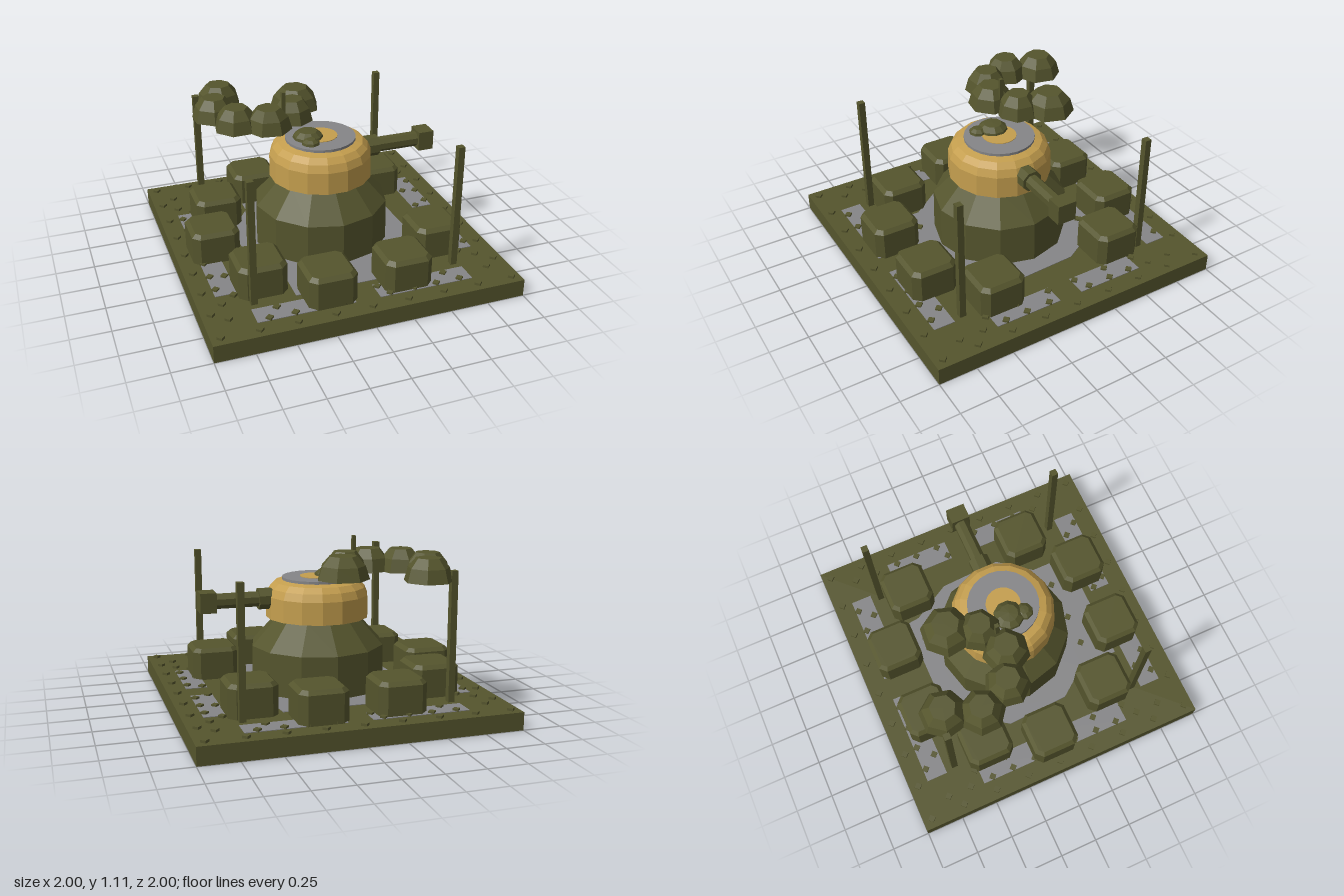
import * as THREE from 'three';

export function createModel() {
  const root = new THREE.Group();
  const make = (name, color, side = THREE.FrontSide) => {
    const m = new THREE.MeshStandardMaterial({ color, flatShading: true, side });
    m.name = name;
    return m;
  };
  const olive = make('olive', 0x55552d, THREE.DoubleSide);
  const gold = make('gold', 0xc49e4e);
  const grey = make('grey', 0x868688);

  const add = (name, geo, mat, x = 0, y = 0, z = 0, parent = root) => {
    const mesh = new THREE.Mesh(geo, mat);
    mesh.name = name;
    mesh.position.set(x, y, z);
    parent.add(mesh);
    return mesh;
  };
  const group = (name) => {
    const g = new THREE.Group();
    g.name = name;
    root.add(g);
    return g;
  };
  const box = (w, h, d) => new THREE.BoxGeometry(w, h, d);
  const lathe = (points, sides, start = 0) =>
    new THREE.LatheGeometry(points.map(([r, y]) => new THREE.Vector2(r, y)), sides, start);

  // Base: hollow tray, open underneath
  const base = group('base');
  add('deck', box(2, 0.03, 2), olive, 0, 0.1, 0, base);
  for (const s of [-1, 1]) {
    add('sideWall', box(0.025, 0.085, 2), olive, s * 0.9875, 0.0425, 0, base);
    add('endWall', box(1.95, 0.085, 0.025), olive, 0, 0.0425, s * 0.9875, base);
  }

  // Grey floor plates
  const floor = group('floorPlates');
  for (const s of [-1, 1]) for (const t of [-1, 1]) {
    add('endPlate', box(0.62, 0.004, 0.14), grey, s * 0.39, 0.117, t * 0.8, floor);
    add('sidePlate', box(0.14, 0.004, 0.45), grey, s * 0.8, 0.117, t * 0.305, floor);
  }
  const outline = [[-0.4, -0.57], [0.39, -0.57], [0.4, -0.48], [0.55, -0.22], [0.57, 0.2],
    [0.4, 0.42], [0.4, 0.68], [-0.4, 0.68], [-0.4, 0.42], [-0.55, 0.22], [-0.57, -0.2], [-0.4, -0.45]];
  const floorShape = new THREE.Shape(outline.map(([x, z]) => new THREE.Vector2(x, -z)));
  const floorGeo = new THREE.ExtrudeGeometry(floorShape, { depth: 0.004, bevelEnabled: false });
  add('centrePlate', floorGeo.rotateX(-Math.PI / 2), grey, 0, 0.115, 0, floor);

  // Bolts: an outer row on each edge, plus inner pairs
  const bolts = group('bolts');
  const boltGeo = new THREE.CylinderGeometry(0.026, 0.026, 0.018, 4);
  const bolt = (x, z) => add('bolt', boltGeo, olive, x, 0.122, z, bolts);
  for (let i = 0; i < 9; i++) {
    const p = -0.94 + i * 0.235;
    bolt(p, -0.94);
    bolt(p, 0.94);
    if (i > 0 && i < 8) {
      bolt(-0.94, p);
      bolt(0.94, p);
    }
  }
  for (const s of [-1, 1]) for (const t of [-1, 1]) {
    for (const [a, b] of [[0.85, 0.15], [0.85, 0.31], [0.85, 0.46], [0.85, 0.62], [0.85, 0.78], [0.76, 0.55], [0.76, 0.1], [0.76, 0.33]]) {
      bolt(s * a, t * b);
      if (b !== 0.78) bolt(s * b, t * a);
    }
    bolt(s * 0.24, t * 0.49);
  }
  bolt(-0.03, 0.49);

  // Chamfered blocks around the tower
  const blocks = group('blocks');
  const h = 0.13, c = 0.1;
  const oct = new THREE.Shape([[-c, -h], [c, -h], [h, -c], [h, c], [c, h], [-c, h], [-h, c], [-h, -c]]
    .map(([x, y]) => new THREE.Vector2(x, y)));
  const blockGeo = new THREE.ExtrudeGeometry(oct, {
    depth: 0.185, bevelEnabled: true, bevelSegments: 1, bevelSize: 0.025, bevelThickness: 0.025
  }).rotateX(-Math.PI / 2);
  for (const [x, z] of [[-0.285, -0.7], [0.215, -0.72], [0.58, -0.48], [0.625, 0.415], [0.285, 0.705],
    [-0.215, 0.72], [-0.58, 0.48], [-0.75, 0], [-0.625, -0.415]]) {
    add('block', blockGeo, olive, x, 0.115, z, blocks);
  }

  // Tower and turret
  add('tower', lathe([[0.445, 0.115], [0.44, 0.395], [0.28, 0.57], [0, 0.57]], 12), olive);
  add('turretRing', new THREE.CylinderGeometry(0.275, 0.275, 0.015, 24), grey, 0, 0.572, 0);
  add('turret', lathe([[0, 0.575], [0.338, 0.575], [0.335, 0.72], [0.315, 0.77], [0.28, 0.805],
    [0.23, 0.818], [0, 0.818]], 16, 0.2), gold);
  add('topPlate', new THREE.CylinderGeometry(0.23, 0.23, 0.02, 24), grey, 0, 0.825, 0);
  add('topDisc', new THREE.CylinderGeometry(0.112, 0.112, 0.004, 20), gold, 0, 0.837, 0);

  // Hatch domes on the turret top
  add('hatch', lathe([[0.1, 0], [0.095, 0.02], [0.06, 0.048], [0, 0.052]], 10), olive, -0.085, 0.833, 0);
  add('hatchKnob', lathe([[0.06, 0], [0.055, 0.018], [0.03, 0.034], [0, 0.036]], 8), olive, -0.1, 0.833, 0.1);

  // Gun on the left side
  const gun = group('gun');
  const tube = (r, len) => new THREE.CylinderGeometry(r, r, len, 8, 1, false, Math.PI / 8).rotateZ(Math.PI / 2);
  add('sleeve', tube(0.07, 0.14), olive, 0.33, 0.705, 0, gun);
  add('barrel', tube(0.05, 0.34), olive, 0.54, 0.705, 0, gun);
  add('muzzle', box(0.105, 0.13, 0.125), olive, 0.733, 0.705, 0, gun);

  // Corner posts and antenna
  for (const s of [-1, 1]) for (const t of [-1, 1]) {
    add('post', box(0.042, 0.83, 0.042), olive, s * 0.665, 0.53, t * 0.665);
  }
  add('antenna', box(0.024, 0.275, 0.024), olive, -0.205, 0.972, -0.135);

  // Canopy of faceted, open domes
  const canopy = group('canopy');
  const domeGeo = lathe([[1, 0], [0.84, 0.085], [0.52, 0.145], [0, 0.145]], 7);
  [[-0.515, -0.625, 0.155], [-0.6, -0.41, 0.148], [-0.505, -0.2, 0.148],
    [-0.31, -0.12, 0.152], [-0.12, -0.215, 0.14], [-0.04, -0.405, 0.168]].forEach(([x, z, r], i) => {
    const dome = add('dome', domeGeo, olive, x, 0.88, z, canopy);
    dome.scale.set(r, 1, r);
    dome.rotation.y = i * 0.7;
  });
  return root;
}
